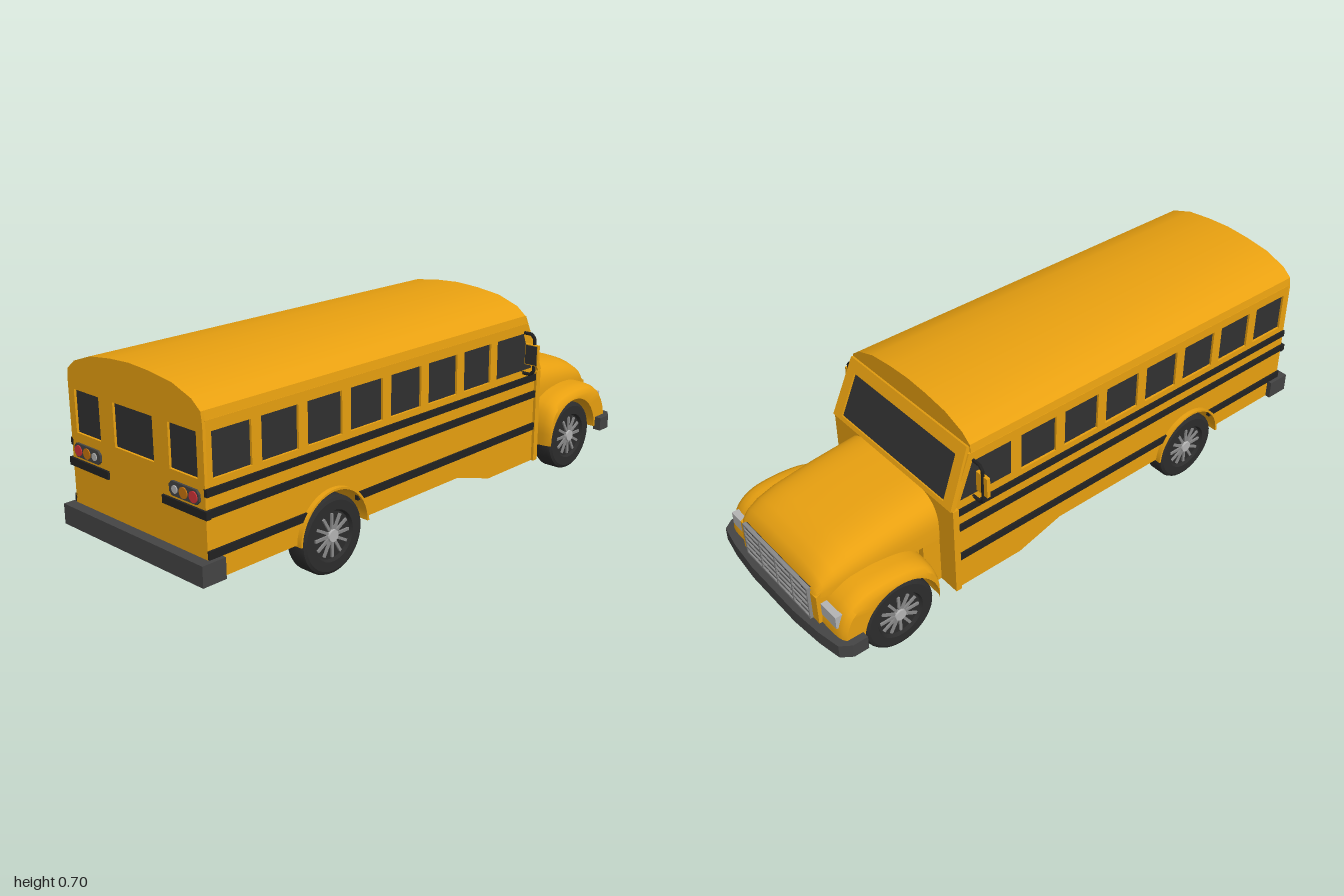
import * as THREE from 'three';
import { toCreasedNormals } from 'three/addons/utils/BufferGeometryUtils.js';

const mat = (color, side = THREE.FrontSide) => new THREE.MeshStandardMaterial({ color, side });
const yellow = mat(0xe8a010), yellowThin = mat(0xe8a010, THREE.DoubleSide);
const glass = mat(0x303030), black = mat(0x222222), steel = mat(0x444444), tyre = mat(0x2c2c2c);
const silver = mat(0xb4b4b4), red = mat(0xd23338), orange = mat(0xc8740c), grey = mat(0x888888);

const shapeOf = (pts) => new THREE.Shape(pts.map(([x, y]) => new THREE.Vector2(x, y)));
const rect = (x0, x1, y0, y1) => [[x0, y0], [x1, y0], [x1, y1], [x0, y1]];
const extrude = (shape, depth) => toCreasedNormals(
  new THREE.ExtrudeGeometry(shape, { depth, bevelEnabled: false, curveSegments: 24 }), 0.6);
// Extrude a (z, y) outline across the width, from x0 to x1
const acrossX = (shape, x0, x1) => extrude(shape, x1 - x0).rotateY(-Math.PI / 2).translate(x1, 0, 0);

// Skin a list of equally long rows of points
function skin(rows, crease = 0.7) {
  const n = rows[0].length, index = [];
  for (let i = 0; i < rows.length - 1; i++) for (let j = 0; j < n - 1; j++) {
    const a = i * n + j, b = a + n;
    index.push(a, b, a + 1, b, b + 1, a + 1);
  }
  const g = new THREE.BufferGeometry();
  g.setAttribute('position', new THREE.Float32BufferAttribute(rows.flat(2), 3));
  g.setIndex(index);
  return toCreasedNormals(g, crease);
}

export function createModel() {
  const bus = new THREE.Group();
  bus.name = 'bus';
  const add = (name, geo, material, parent = bus) => {
    const m = new THREE.Mesh(geo, material);
    m.name = name;
    parent.add(m);
    return m;
  };
  const box = (name, x0, x1, y0, y1, z0, z1, material, parent = bus) =>
    add(name, new THREE.BoxGeometry(x1 - x0, y1 - y0, z1 - z0)
      .translate((x0 + x1) / 2, (y0 + y1) / 2, (z0 + z1) / 2), material, parent);

  // Cabin: core, side walls with window openings, roof
  const rearZ = 0.49, frontZ = -0.745, archR = 0.137;
  const cabinSide = () => {
    const s = new THREE.Shape();
    s.moveTo(0.955, 0.6).lineTo(0.955, 0.14).lineTo(rearZ + archR, 0.14);
    s.absarc(rearZ, 0.135, archR, 0, Math.PI, false);
    s.lineTo(rearZ - archR, 0.14).lineTo(-0.1, 0.14).lineTo(-0.27, 0.09);
    s.lineTo(-0.535, 0.09).lineTo(-0.535, 0.42).lineTo(-0.463, 0.6);
    return s;
  };
  add('cabinCore', acrossX(cabinSide(), -0.295, 0.295), yellow);
  const wall = cabinSide();
  for (let i = 0; i < 7; i++) {
    const z = 0.936 - i * 0.1765;
    wall.holes.push(shapeOf(rect(z - 0.14, z, 0.433, 0.567)));
  }
  wall.holes.push(shapeOf([[-0.298, 0.433], [-0.505, 0.433], [-0.452, 0.567], [-0.298, 0.567]]));
  const arch = [[0.305, 0.59], [0.3, 0.627], [0.265, 0.655], [0.185, 0.683], [0.09, 0.695], [0, 0.7]];
  const roofLine = [...arch, ...arch.slice(0, -1).reverse().map(([x, y]) => [-x, y])];
  add('roof', extrude(shapeOf(roofLine), 1.41).translate(0, 0, -0.455), yellow);

  // Rear wall with three windows
  const rear = shapeOf([[0.305, 0.14], ...roofLine, [-0.305, 0.14]]);
  const rearWindows = [[-0.277, -0.157], [-0.09, 0.09], [0.157, 0.277]];
  rearWindows.forEach(([a, b]) => rear.holes.push(shapeOf(rect(a, b, 0.433, 0.567))));
  add('rearWall', extrude(rear, 0.01).translate(0, 0, 0.955), yellow);
  rearWindows.forEach(([a, b]) => box('rearWindow', a, b, 0.433, 0.567, 0.95, 0.957, glass));

  // Slanted windscreen in its frame
  const screen = new THREE.Group();
  screen.name = 'windscreen';
  screen.position.set(0, 0.42, -0.535);
  screen.rotation.x = Math.atan2(0.08, 0.2);
  const frame = shapeOf([[-0.312, 0], [0.312, 0], [0.297, 0.215], [-0.297, 0.215]]);
  const pane = [[-0.27, 0.015], [0.27, 0.015], [0.262, 0.172], [-0.262, 0.172]];
  frame.holes.push(shapeOf(pane));
  add('windscreenFrame', extrude(frame, 0.018).translate(0, 0, -0.01), yellow, screen);
  add('windscreenGlass', extrude(shapeOf(pane), 0.006).translate(0, 0, -0.003), glass, screen);
  bus.add(screen);
  box('cowlFlange', -0.315, 0.315, 0.09, 0.42, -0.537, -0.515, yellow);

  // Hood: rounded upper shell over a nose block with an open wheel tunnel
  const hood = [[-0.53, 0.425, 0.24], [-0.7, 0.405, 0.238], [-0.84, 0.382, 0.233], [-0.9, 0.362, 0.228],
    [-0.94, 0.335, 0.22], [-0.96, 0.305, 0.212], [-0.968, 0.27, 0.205]].map(([z, top, w]) => {
    const row = [];
    for (let i = 0; i <= 28; i++) {
      const a = Math.PI * i / 28, c = Math.cos(a), s = Math.max(0, Math.sin(a));
      row.push([w * Math.sign(c) * Math.abs(c) ** 0.5, 0.262 + (top - 0.262) * s ** 0.55, z]);
    }
    return row;
  });
  add('hood', skin(hood), yellowThin);
  const nose = new THREE.Shape();
  nose.moveTo(-0.53, 0.28).lineTo(-0.53, 0.09).lineTo(-0.6, 0.09).lineTo(frontZ + archR, 0.13);
  nose.absarc(frontZ, 0.13, archR, 0, Math.PI, false);
  nose.lineTo(-0.968, 0.13).lineTo(-0.968, 0.27).lineTo(-0.95, 0.28);
  add('noseBlock', acrossX(nose, -0.215, 0.215), yellow);
  box('cowl', -0.238, 0.238, 0.09, 0.3, -0.6, -0.53, yellow);

  // Grille
  box('grille', -0.18, 0.18, 0.165, 0.29, -0.972, -0.95, glass);
  for (let i = 0; i < 6; i++) box('grilleBar', -0.18, 0.18, 0.166 + i * 0.0235, 0.173 + i * 0.0235, -0.978, -0.965, grey);
  for (let i = 0; i < 5; i++) box('grillePost', -0.183 + i * 0.09, -0.177 + i * 0.09, 0.166, 0.29, -0.978, -0.965, grey);

  // Front bumper swept back at its ends
  const half = [[0.35, 0.888], [0.35, 0.94], [0.325, 0.975], [0.24, 0.99], [0.12, 1]];
  const inner = [[0.12, 0.96], [0.23, 0.955], [0.305, 0.943], [0.32, 0.92], [0.32, 0.888]];
  const flip = (pts) => pts.map(([x, y]) => [-x, y]).reverse();
  add('frontBumper', extrude(shapeOf([...half, ...flip(half), ...flip(inner), ...inner]), 0.048)
    .rotateX(-Math.PI / 2).translate(0, 0.117, 0), steel);
  box('rearBumper', -0.323, 0.323, 0.14, 0.205, 0.917, 1, steel);

  // Front fender rows: crown, rounded shoulder, outer face, wheel arch liner
  const crown = new THREE.CatmullRomCurve3([[-0.146, 0.12], [-0.145, 0.2], [-0.12, 0.26], [-0.07, 0.29], [0, 0.303],
    [0.07, 0.304], [0.13, 0.294], [0.18, 0.26], [0.207, 0.2], [0.215, 0.14]]
    .map(([d, y]) => new THREE.Vector3(0, y, -d))).getPoints(32);
  const crownRow = (x, s) => crown.map((p) => [x, 0.13 + (p.y - 0.13) * s, frontZ + p.z * (0.4 * s + 0.6)]);
  const archRow = (x) => crown.map((p, i) => {
    const a = Math.PI * i / 32;
    return [x, 0.13 + archR * Math.sin(a), frontZ + archR * Math.cos(a)];
  });
  const fender = skin([crownRow(0.2, 1), crownRow(0.27, 1), crownRow(0.295, 0.98), crownRow(0.313, 0.93),
    crownRow(0.325, 0.84), archRow(0.326), archRow(0.2)]);

  // Tyre and spoked rim, hub facing +x
  const tyreGeo = toCreasedNormals(new THREE.LatheGeometry([[0, -0.039], [0.112, -0.039], [0.121, -0.034],
    [0.125, -0.026], [0.125, 0.026], [0.121, 0.034], [0.112, 0.039], [0.082, 0.039], [0.076, 0.028], [0, 0.028]]
    .map(([r, y]) => new THREE.Vector2(r, y)), 40), 0.5).rotateZ(-Math.PI / 2);
  const makeWheel = (z) => {
    const w = new THREE.Group();
    w.name = 'wheel';
    add('tyre', tyreGeo, tyre, w);
    for (let i = 0; i < 12; i++) {
      add('spoke', new THREE.BoxGeometry(0.008, 0.05, 0.009).translate(0.03, 0.045, 0)
        .rotateX(i * Math.PI / 6), grey, w);
    }
    add('hub', new THREE.CylinderGeometry(0.019, 0.022, 0.016, 20).rotateZ(-Math.PI / 2).translate(0.032, 0, 0), silver, w);
    w.position.set(0.273, 0.125, z);
    return w;
  };

  // Everything that is mirrored left and right
  const armPath = new THREE.CurvePath();
  const armPts = [[0.3, 0.57], [0.335, 0.57], [0.348, 0.556], [0.348, 0.442], [0.335, 0.428], [0.3, 0.428]]
    .map(([x, y]) => new THREE.Vector3(x, y, -0.448));
  armPts.slice(1).forEach((p, i) => armPath.add(new THREE.LineCurve3(armPts[i], p)));
  const archLip = new THREE.Shape();
  archLip.absarc(rearZ, 0.135, 0.144, 0, Math.PI, false);
  archLip.absarc(rearZ, 0.135, archR, Math.PI, 0, true);
  for (const side of [1, -1]) {
    const g = new THREE.Group();
    g.name = side > 0 ? 'leftSide' : 'rightSide';
    add('sideWall', acrossX(wall, 0.295, 0.305), yellow, g);
    wall.holes.forEach((h) => add('sideWindow', acrossX(shapeOf(h.getPoints().map((p) => [p.x, p.y])), 0.29, 0.297), glass, g));
    box('upperStripe', 0.3, 0.312, 0.388, 0.411, -0.515, 0.965, black, g);
    box('middleStripe', 0.3, 0.312, 0.326, 0.35, -0.515, 0.965, black, g);
    box('lowerStripe', 0.3, 0.312, 0.207, 0.232, -0.515, 0.385, black, g);
    box('lowerStripe', 0.3, 0.312, 0.207, 0.232, 0.595, 0.965, black, g);
    box('rearStripe', 0.125, 0.315, 0.325, 0.35, 0.955, 0.972, black, g);
    add('rearArchLip', acrossX(archLip, 0.295, 0.322), yellow, g);
    add('frontFender', fender, yellowThin, g);
    box('headlight', 0.218, 0.295, 0.2, 0.245, -0.957, -0.92, silver, g);
    g.add(makeWheel(rearZ), makeWheel(frontZ));

    // Tail light cluster
    const plate = shapeOf([[0.17, 0.36], [0.275, 0.36], [0.286, 0.371], [0.286, 0.392], [0.275, 0.403],
      [0.17, 0.403], [0.159, 0.392], [0.159, 0.371]]);
    add('tailLightPlate', extrude(plate, 0.01).translate(0, 0, 0.962), steel, g);
    [[0.264, 0.017, red], [0.222, 0.017, orange], [0.185, 0.012, silver]].forEach(([x, r, m]) =>
      add('tailLight', new THREE.CylinderGeometry(r, r, 0.01, 24).rotateX(Math.PI / 2).translate(x, 0.381, 0.97), m, g));

    // Door mirror on its arm
    add('mirrorArm', new THREE.TubeGeometry(armPath, 40, 0.006, 6), black, g);
    box('mirrorCase', 0.317, 0.369, 0.464, 0.536, -0.449, -0.437, yellow, g);
    box('mirrorGlass', 0.32, 0.366, 0.467, 0.533, -0.438, -0.435, glass, g);
    g.scale.x = side;
    bus.add(g);
  }
  return bus;
}
